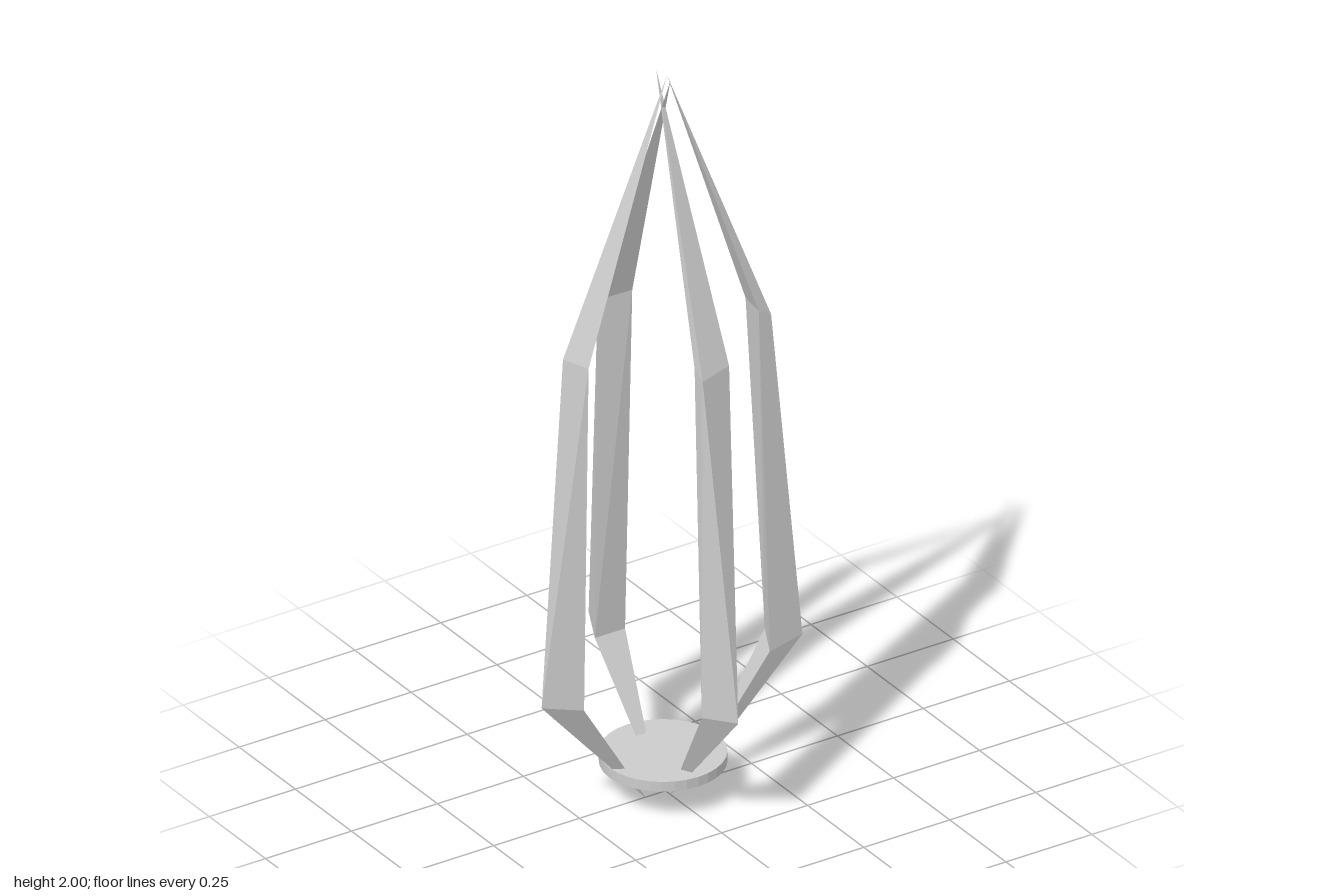
import * as THREE from 'three';

const material = new THREE.MeshStandardMaterial({ color: 0xcccccc, flatShading: true });

// Lofts triangular sections, listed from bottom to top; each corner is [outward, height, sideways].
function loftTriangles(sections) {
  const positions = [];
  const add = (...corners) => corners.forEach((c) => positions.push(...c));
  for (let s = 0; s < sections.length - 1; s++) {
    const low = sections[s], high = sections[s + 1];
    for (let a = 0; a < 3; a++) {
      const b = (a + 1) % 3;
      add(low[a], low[b], high[b]);
      add(low[a], high[b], high[a]);
    }
  }
  const geometry = new THREE.BufferGeometry();
  geometry.setAttribute('position', new THREE.Float32BufferAttribute(positions, 3));
  geometry.computeVertexNormals();
  return geometry;
}

// One bent blade: pointed foot, wide knee, narrower shoulder, pointed tip.
function bladeGeometry(inset, ridged) {
  const w = 0.044;
  const foot = [0.06, 0, 0], tip = [0, 2, 0];
  const knee = ridged
    ? [[0.365, 0.345, 0], [0.27, 0.33, -w], [0.27, 0.33, w]]
    : [[0.365, 0.35, w], [0.313, 0.34, -w], [0.27, 0.33, w]];
  const shoulder = [[0.274, 1.27, w], [0.257, 1.28, -w], [0.238, 1.29, w]];
  const sections = [[foot, foot, foot], knee, shoulder, [tip, tip, tip]];
  return loftTriangles(sections.map((s) => s.map(([r, y, t]) => [r - inset, y, t])));
}

export function createModel() {
  const model = new THREE.Group();
  model.name = 'bladeCage';

  // Four blades around the axis; the front and back pair sits closer in.
  ['leftBlade', 'frontBlade', 'rightBlade', 'backBlade'].forEach((name, i) => {
    const alongZ = i % 2 === 1;
    const blade = new THREE.Mesh(bladeGeometry(alongZ ? 0.032 : 0, i > 0), material);
    blade.name = name;
    blade.rotation.y = -i * Math.PI / 2;
    blade.position.set(alongZ ? -0.006 : 0, 0, alongZ ? 0 : 0.007);
    model.add(blade);
  });

  // Thin disc holding the blades together near the foot
  const disc = new THREE.Mesh(new THREE.CylinderGeometry(0.157, 0.157, 0.027, 32), material);
  disc.name = 'baseDisc';
  disc.position.set(-0.005, 0.099, -0.003);
  model.add(disc);

  return model;
}
